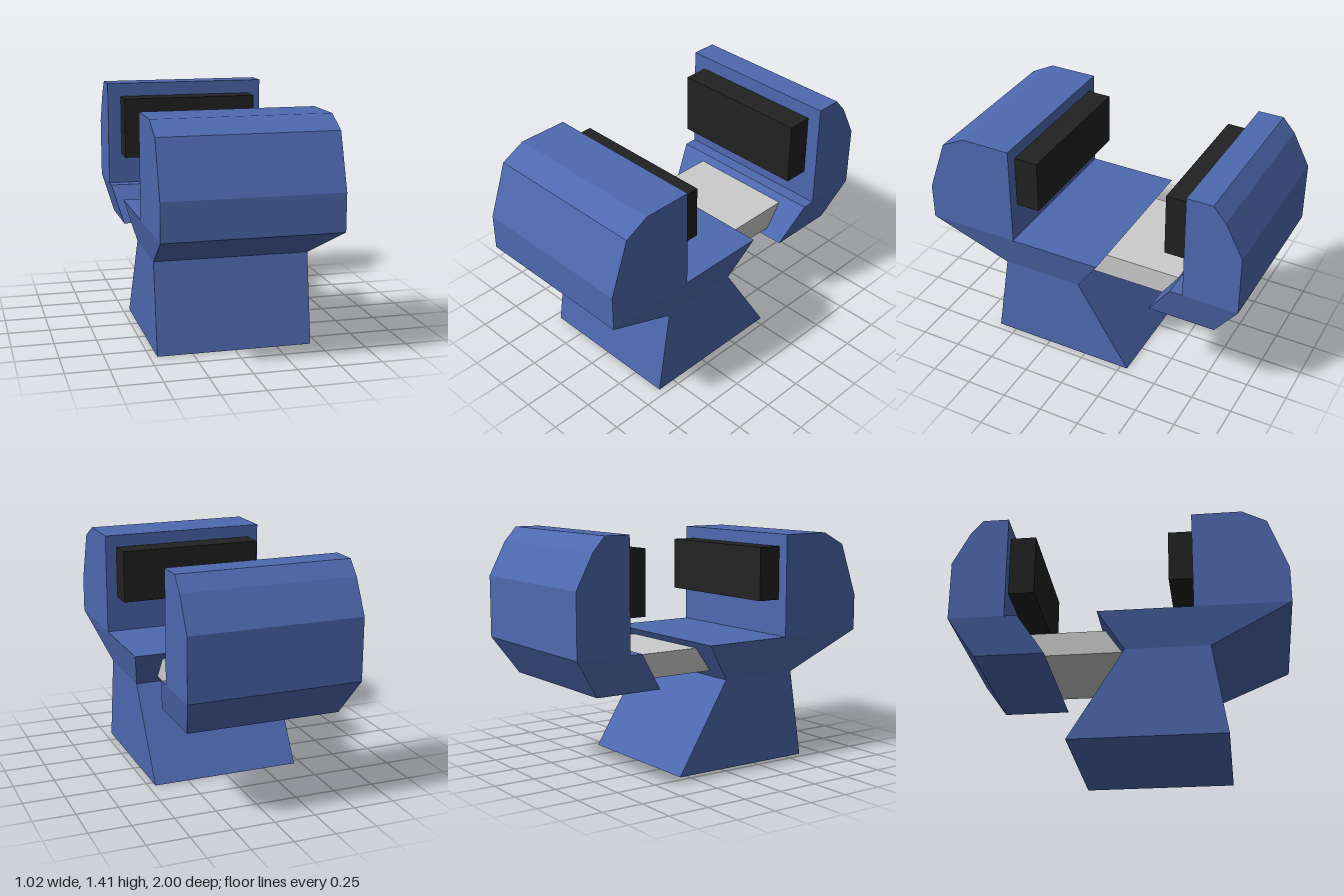
import * as THREE from 'three';

const paint = new THREE.MeshStandardMaterial({ color: 0x4e69b0, flatShading: true });
const rubber = new THREE.MeshStandardMaterial({ color: 0x222222, flatShading: true });
const steel = new THREE.MeshStandardMaterial({ color: 0xcccccc, flatShading: true });

const WIDE = 0.512, NARROW = 0.457; // half widths of the jaws and of the foot
const WAIST = 0.535, BED = 0.76; // heights where the cross-section changes

function addMesh(group, name, geometry, material) {
  const mesh = new THREE.Mesh(geometry, material);
  mesh.name = name;
  group.add(mesh);
}

// Side profile of [z, y] points, extruded across the width
function profileBlock(points, halfWidth) {
  const shape = new THREE.Shape(points.map(([z, y]) => new THREE.Vector2(z, y)));
  const geometry = new THREE.ExtrudeGeometry(shape, { depth: 2 * halfWidth, bevelEnabled: false });
  return geometry.translate(0, 0, -halfWidth).rotateY(-Math.PI / 2);
}

// Six-sided block whose bottom and top rectangles differ: { y, back, front, half }
function taperedBlock(bottom, top) {
  const geometry = new THREE.BoxGeometry(2, 2, 2);
  const p = geometry.attributes.position;
  for (let i = 0; i < p.count; i++) {
    const end = p.getY(i) > 0 ? top : bottom;
    p.setXYZ(i, p.getX(i) * end.half, end.y, p.getZ(i) > 0 ? end.front : end.back);
  }
  geometry.computeVertexNormals();
  return geometry;
}

// Straight box given by its extents
const block = (half, y0, y1, back, front) =>
  taperedBlock({ y: y0, back, front, half }, { y: y1, back, front, half });

export function createModel() {
  const vise = new THREE.Group();
  vise.name = 'benchVise';

  // Fixed body: flared foot, bed and front jaw
  const fixed = new THREE.Group();
  fixed.name = 'fixedBody';
  const waist = { y: WAIST, back: 0.035, front: 0.53, half: NARROW };
  addMesh(fixed, 'foot', taperedBlock({ y: 0, back: -0.295, front: 0.615, half: NARROW }, waist), paint);
  addMesh(fixed, 'bed', taperedBlock(waist, { y: BED, back: -0.12, front: 1, half: WIDE }), paint);
  addMesh(fixed, 'frontJaw', profileBlock(
    [[0.44, BED], [1, BED], [1, 0.98], [0.885, 1.3], [0.74, 1.375], [0.44, 1.375]], WIDE), paint);
  addMesh(fixed, 'frontJawPad', block(0.443, 0.98, 1.3, 0.295, 0.44), rubber);

  // Sliding body: carriage and rear jaw
  const sliding = new THREE.Group();
  sliding.name = 'slidingBody';
  addMesh(sliding, 'carriage', taperedBlock(
    { y: WAIST, back: -0.845, front: -0.432, half: NARROW },
    { y: BED, back: -1, front: -0.588, half: WIDE }), paint);
  addMesh(sliding, 'rearJaw', profileBlock(
    [[-1, BED], [-0.665, BED], [-0.665, 1.415], [-0.82, 1.415], [-0.895, 1.33], [-1, 1.13]], WIDE), paint);
  addMesh(sliding, 'rearJawPad', block(0.428, 0.95, 1.33, -0.665, -0.51), rubber);

  // Guide bar joining the two bodies
  addMesh(vise, 'guideBar', block(0.332, 0.575, 0.72, -0.7, 0.15), steel);

  vise.add(fixed, sliding);
  return vise;
}
